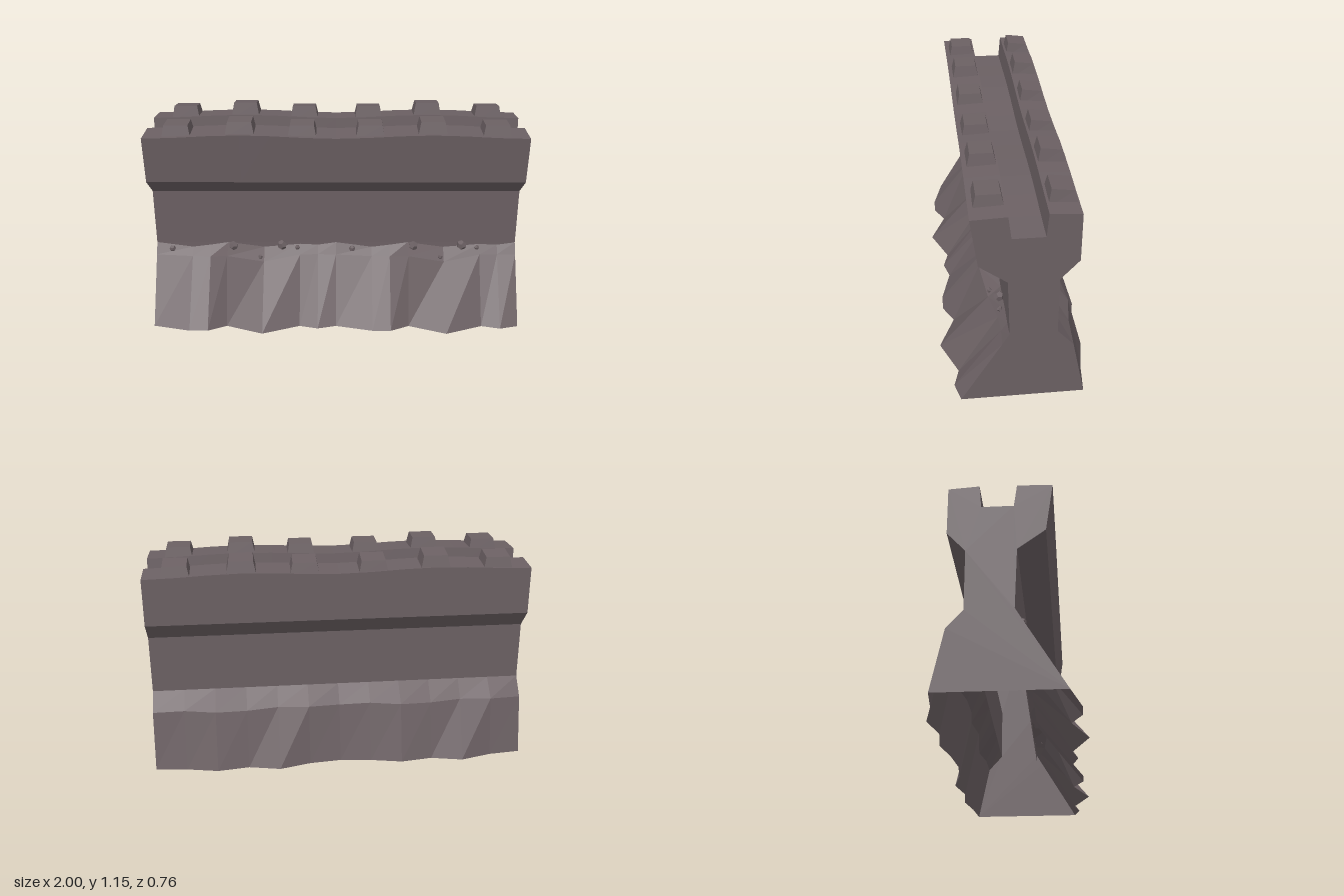
import * as THREE from 'three';

const stone = new THREE.MeshStandardMaterial({ color: 0x6b6063, flatShading: true, side: THREE.DoubleSide });
stone.name = 'stone';

// Skin between neighbouring columns of points, left to right
function skin(columns) {
  const pos = [];
  for (let i = 0; i < columns.length - 1; i++) {
    const p = columns[i], q = columns[i + 1];
    for (let j = 0; j < p.length - 1; j++) {
      pos.push(...p[j], ...q[j], ...q[j + 1], ...p[j], ...q[j + 1], ...p[j + 1]);
    }
  }
  const g = new THREE.BufferGeometry();
  g.setAttribute('position', new THREE.Float32BufferAttribute(pos, 3));
  g.computeVertexNormals();
  return g;
}

// Slight rise of the battlements in the middle of each half
const rise = (x) => 0.018 * Math.pow(Math.sin(Math.PI * x), 2);

// Wall cross-section as [z, y], front foot over the walkway to the back foot
const wallProfile = (x) => {
  const r = rise(x);
  return [[0.055, 0.35], [0.055, 0.4], [0.065, 0.71], [0.2, 0.81], [0.235, 1.06 + r], [0.065, 1.067 + r],
    [0.05, 0.95 + r], [-0.105, 0.95 + r], [-0.115, 1.07 + r], [-0.265, 1.06 + r],
    [-0.265, 0.81], [-0.175, 0.71], [-0.175, 0.4]];
};

// Front rock columns over one unit: x, foot z, shoulder z, shoulder y, top y
const frontRock = [
  [0, 0.292, 0.09, 0.34, 0.4], [0.2, 0.345, 0.09, 0.33, 0.372], [0.3, 0.345, 0.095, 0.33, 0.385],
  [0.4, 0.292, 0.15, 0.358, 0.4], [0.6, 0.377, 0.12, 0.31, 0.372], [0.8, 0.292, 0.09, 0.34, 0.39],
  [0.9, 0.32, 0.085, 0.34, 0.385],
];
// Back rock columns over one unit: x, foot z, shoulder z, shoulder y
const backRock = [
  [0, -0.318, -0.255, 0.31], [0.167, -0.335, -0.275, 0.315], [0.333, -0.38, -0.252, 0.31],
  [0.5, -0.345, -0.27, 0.305], [0.667, -0.368, -0.285, 0.31], [0.833, -0.335, -0.26, 0.315],
];
// Repeat the unit across both halves and close at the right-hand end
const repeat = (unit) => [-1, 0, 1].flatMap((o) =>
  (o === 1 ? unit.slice(0, 1) : unit).map(([x, ...rest]) => [x + o, ...rest]));

// Block with a smaller top; the top may lean along z
function merlonGeometry(w, h, d, lean) {
  const g = new THREE.BoxGeometry(w, h, d);
  const p = g.attributes.position;
  for (let i = 0; i < p.count; i++) {
    if (p.getY(i) > 0) {
      p.setX(i, p.getX(i) * 0.8);
      p.setY(i, p.getY(i) + lean * Math.sign(p.getZ(i)));
      p.setZ(i, p.getZ(i) * 0.76);
    }
  }
  g.computeVertexNormals();
  return g;
}

export function createModel() {
  const model = new THREE.Group();
  model.name = 'battlementWall';
  const add = (name, geometry, parent = model) => {
    const m = new THREE.Mesh(geometry, stone);
    m.name = name;
    parent.add(m);
    return m;
  };

  // Wall with overhanging parapets and sunken walkway
  const xs = Array.from({ length: 13 }, (_, i) => -1 + i / 6);
  add('wall', skin(xs.map((x) => wallProfile(x).map(([z, y]) => [x, y, z]))));

  // Rocky footings, open underneath
  add('frontRocks', skin(repeat(frontRock).map(([x, foot, sz, sy, top]) =>
    [[x, 0, foot], [x, sy, sz], [x, top, 0.055]])));
  add('backRocks', skin(repeat(backRock).map(([x, foot, sz, sy]) =>
    [[x, 0.4, -0.175], [x, sy, sz], [x, 0, foot]])));

  // Flat ends
  const outline = [[0.292, 0], [0.09, 0.34], ...wallProfile(1).slice(1), [-0.255, 0.31], [-0.318, 0]];
  for (const s of [-1, 1]) {
    const shape = new THREE.Shape(outline.map(([z, y]) => new THREE.Vector2(-s * z, y)));
    const end = new THREE.ShapeGeometry(shape).rotateY(s * Math.PI / 2).translate(s, 0, 0);
    add(s > 0 ? 'leftEnd' : 'rightEnd', end);
  }

  // Merlons along both parapets
  const merlons = new THREE.Group();
  merlons.name = 'merlons';
  model.add(merlons);
  for (const x of [-0.825, -0.497, -0.175, 0.178, 0.5, 0.833]) {
    const lift = Math.abs(Math.abs(x) - 0.5) < 0.1 ? 0.018 : 0;
    add('frontMerlon', merlonGeometry(0.155, 0.08, 0.15, 0), merlons).position.set(x, 1.081 + lift, 0.142);
    add('backMerlon', merlonGeometry(0.155, 0.08, 0.14, 0.007), merlons).position.set(x, 1.085 + lift, -0.192);
  }

  // Loose stones resting on the front footing
  const rubble = new THREE.Group();
  rubble.name = 'rubble';
  model.add(rubble);
  const stones = [[-0.91, 0.375, 0.085, 0.018], [-0.57, 0.395, 0.09, 0.026], [-0.3, 0.393, 0.075, 0.028],
    [-0.42, 0.337, 0.112, 0.013], [-0.215, 0.38, 0.08, 0.014]];
  for (const shift of [0, 1]) {
    stones.forEach(([x, y, z, r], i) => {
      const s = add('looseStone', new THREE.DodecahedronGeometry(r), rubble);
      s.position.set(x + shift, y, z);
      s.rotation.set(i, i * 2, 0);
    });
  }
  return model;
}
